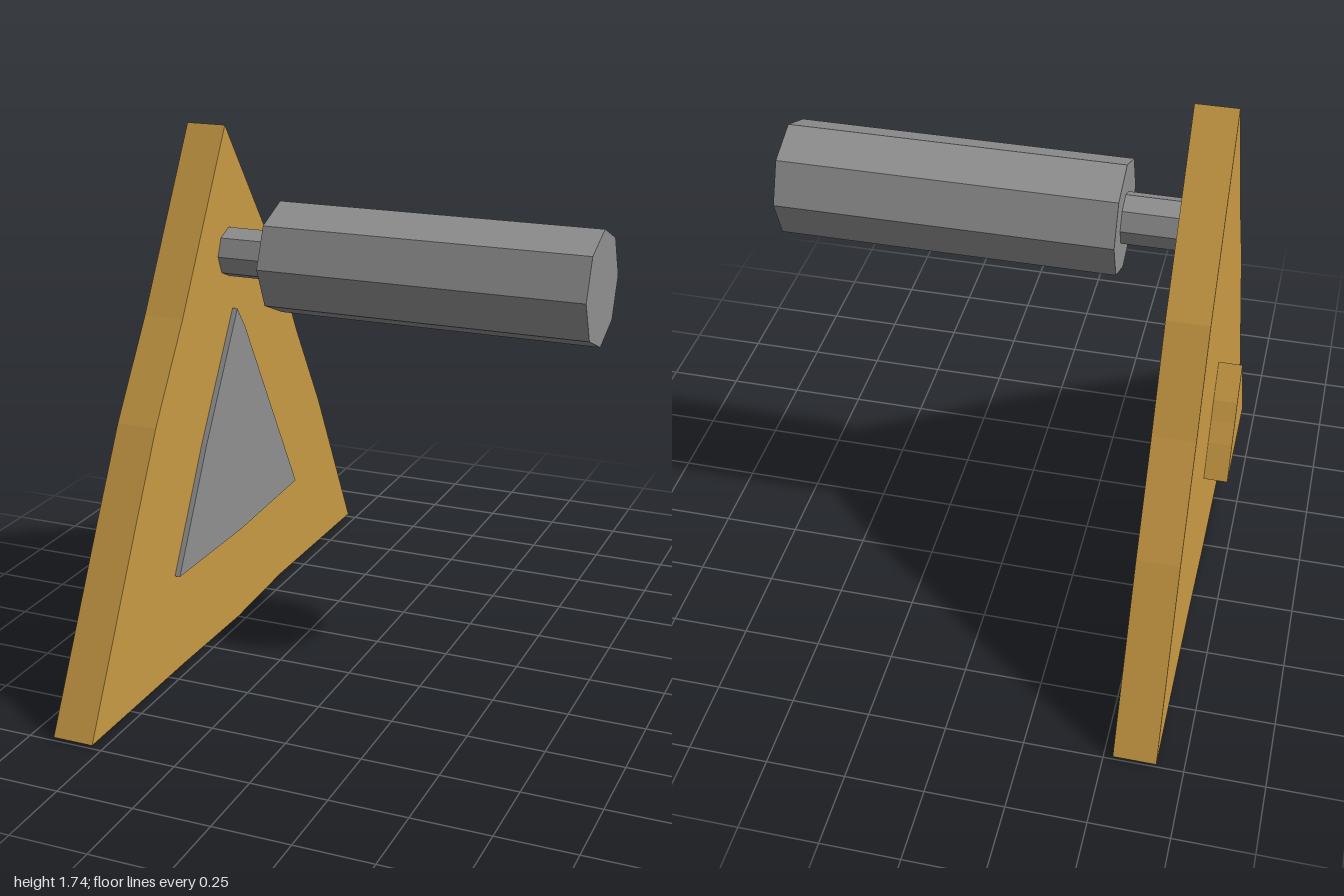
import * as THREE from 'three';

const gold = new THREE.MeshStandardMaterial({ color: 0xc89944, flatShading: true });
const grey = new THREE.MeshStandardMaterial({ color: 0x8f8f8f, flatShading: true });

// Slab with an outline in (-z, y), extruded along x from x0 to x1
function slab(name, outline, x0, x1, material) {
  const shape = new THREE.Shape(outline.map(([u, y]) => new THREE.Vector2(u, y)));
  const geometry = new THREE.ExtrudeGeometry(shape, { depth: x1 - x0, bevelEnabled: false });
  geometry.rotateY(Math.PI / 2).translate(x0, 0, 0);
  const mesh = new THREE.Mesh(geometry, material);
  mesh.name = name;
  return mesh;
}

// Octagonal bar lying along x
function bar(name, radius, x0, x1, z) {
  const geometry = new THREE.CylinderGeometry(radius, radius, x1 - x0, 8);
  geometry.rotateZ(-Math.PI / 2);
  const mesh = new THREE.Mesh(geometry, grey);
  mesh.name = name;
  mesh.position.set((x0 + x1) / 2, 1.323, z);
  return mesh;
}

export function createModel() {
  const group = new THREE.Group();
  group.name = 'triangularPlateWithHandle';

  // Slightly bowed, hand-cut triangle
  const plate = [
    [-1, 0.013], [-0.4, 0.01], [0, 0.002], [0.35, 0.02], [1, 0.013],
    [0.72, 0.58], [0.53, 0.91], [0.37, 1.22], [0, 1.743],
    [-0.33, 1.18], [-0.53, 0.88], [-0.69, 0.59],
  ];
  const panel = [
    [-0.445, 0.343], [0, 0.337], [0.46, 0.355], [0.26, 0.716],
    [0.075, 1.05], [0.02, 1.127], [-0.23, 0.727],
  ];
  // Small copy of the plate outline on the outer side
  const boss = plate.map(([u, y]) => [u * 0.193 + 0.0075, y * 0.193 + 0.48]);

  group.add(
    slab('plate', plate, -0.665, -0.53, gold),
    slab('inlayPanel', panel, -0.535, -0.512, grey),
    slab('outerBoss', boss, -0.742, -0.66, gold),
    bar('neck', 0.083, -0.535, -0.335, -0.008),
    bar('handle', 0.186, -0.34, 0.738, -0.004),
  );
  return group;
}
